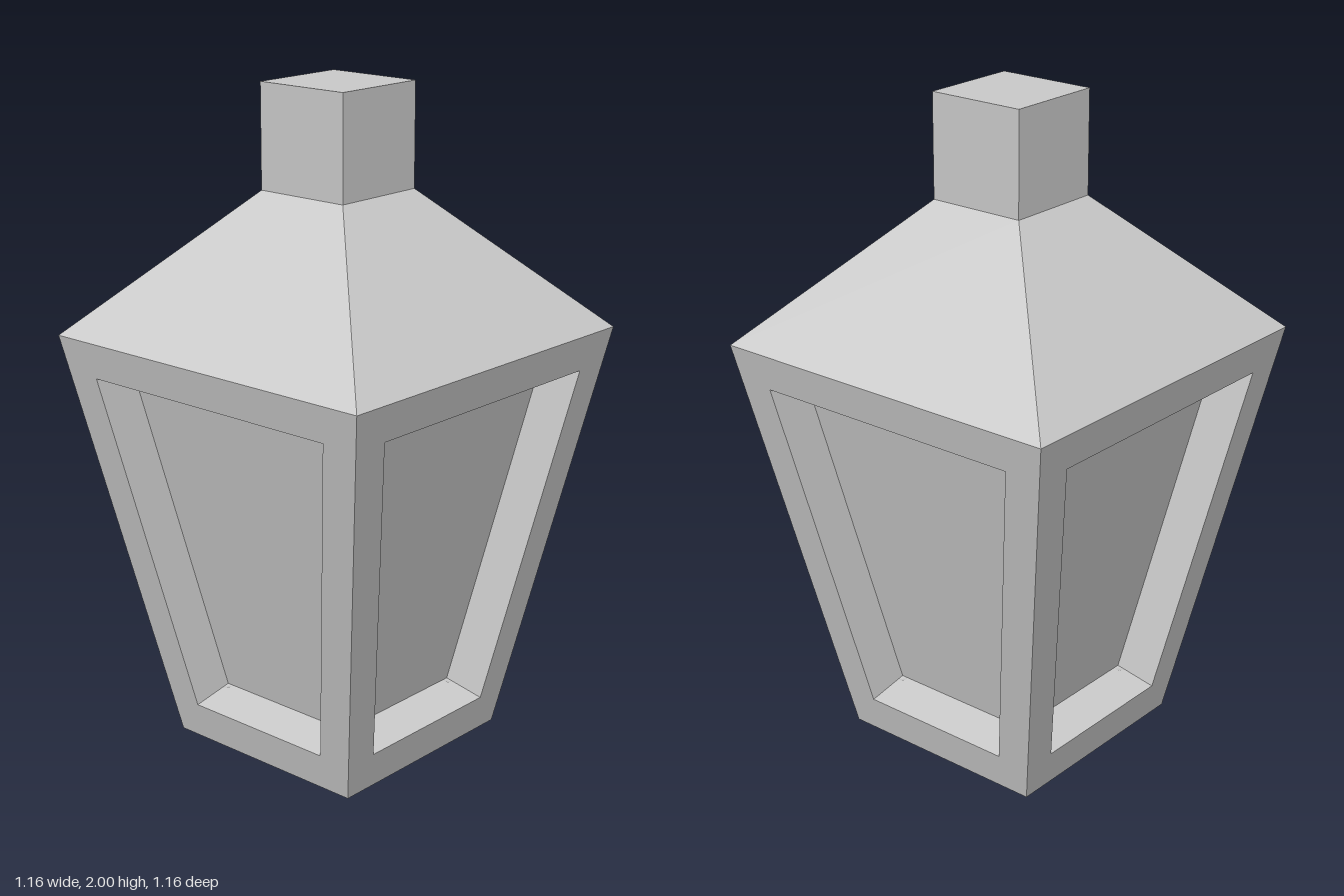
import * as THREE from 'three';

const BASE = 0.34, EAVE = 0.575, NECK = 0.155; // half widths
const Y_EAVE = 1.27, Y_NECK = 1.69, Y_TOP = 2;
const DEPTH = 0.135; // window recess

const material = new THREE.MeshStandardMaterial({ color: 0xcccccc, flatShading: true });

function addMesh(parent, geometry, name) {
  const mesh = new THREE.Mesh(geometry, material);
  mesh.name = name;
  parent.add(mesh);
  return mesh;
}

// Flat-shaded quads, corners counter-clockwise as seen from outside
function quadGeometry(quads) {
  const points = quads.flatMap(([a, b, c, d]) => [a, b, c, a, c, d]);
  const geometry = new THREE.BufferGeometry().setFromPoints(points);
  geometry.computeVertexNormals();
  return geometry;
}

// Corners of a trapezoid lying in the sloping front wall
function trapezoid(bottomHalf, yBottom, topHalf, yTop) {
  const at = (x, y) => new THREE.Vector3(x, y, BASE + (EAVE - BASE) * y / Y_EAVE);
  return [at(-bottomHalf, yBottom), at(bottomHalf, yBottom), at(topHalf, yTop), at(-topHalf, yTop)];
}

// Quads joining one loop of four corners to the next
function ring(outer, inner) {
  return outer.map((p, i) => {
    const j = (i + 1) % 4;
    return [p, outer[j], inner[j], inner[i]];
  });
}

export function createModel() {
  const lantern = new THREE.Group();
  lantern.name = 'lantern';

  // Four sloping walls, each with a window sunk square to its surface
  const outer = trapezoid(BASE, 0, EAVE, Y_EAVE);
  const opening = trapezoid(0.252, 0.115, 0.44, 1.16);
  const inward = new THREE.Vector3(0, EAVE - BASE, -Y_EAVE).setLength(DEPTH);
  const pane = opening.map((p) => p.clone().add(inward));
  const frameGeometry = quadGeometry(ring(outer, opening));
  const revealGeometry = quadGeometry(ring(opening, pane));
  const paneGeometry = quadGeometry([pane]);

  ['front', 'left', 'back', 'right'].forEach((side, i) => {
    const wall = new THREE.Group();
    wall.name = side + 'Wall';
    wall.rotation.y = i * Math.PI / 2;
    addMesh(wall, frameGeometry, side + 'Frame');
    addMesh(wall, revealGeometry, side + 'Reveal');
    addMesh(wall, paneGeometry, side + 'Pane');
    lantern.add(wall);
  });

  // Underside
  const floor = addMesh(lantern, new THREE.PlaneGeometry(2 * BASE, 2 * BASE), 'floor');
  floor.rotation.x = Math.PI / 2;

  // Four-sided roof
  const roofGeometry = new THREE.CylinderGeometry(
    NECK * Math.SQRT2, EAVE * Math.SQRT2, Y_NECK - Y_EAVE, 4, 1, true);
  roofGeometry.rotateY(Math.PI / 4);
  addMesh(lantern, roofGeometry, 'roof').position.y = (Y_EAVE + Y_NECK) / 2;

  // Square cap block
  const cap = addMesh(lantern, new THREE.BoxGeometry(2 * NECK, Y_TOP - Y_NECK, 2 * NECK), 'cap');
  cap.position.y = (Y_NECK + Y_TOP) / 2;

  // The whole lantern stands very slightly turned
  lantern.rotation.y = 0.013;
  const model = new THREE.Group();
  model.add(lantern);
  return model;
}
